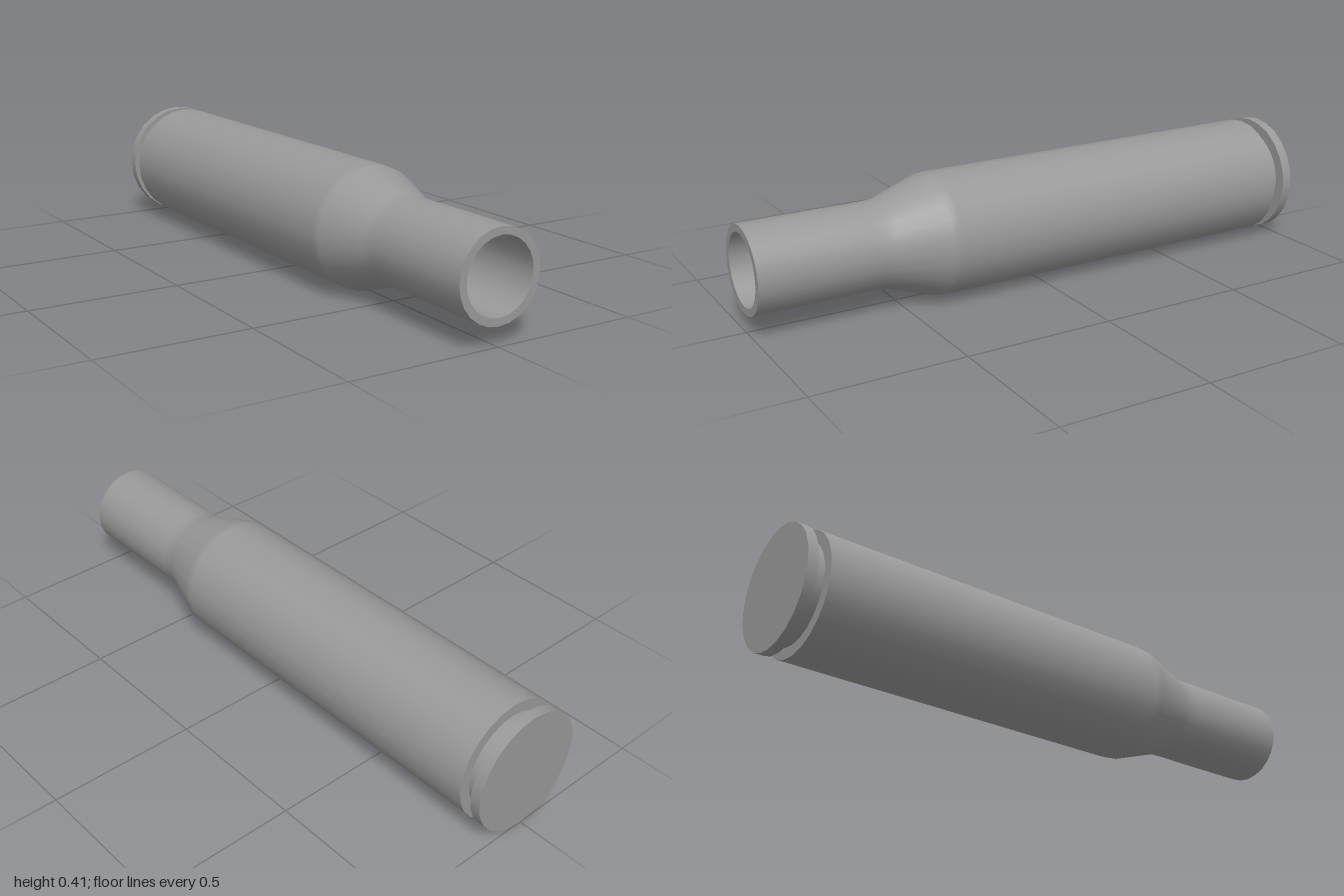
import * as THREE from 'three';

const SIDES = 24;
const R = 0.204;      // body and rim radius
const GROOVE = 0.166; // extractor groove radius
const NECK = 0.144;   // outer neck radius
const BORE = 0.119;   // inner radius

export function createModel() {
  const group = new THREE.Group();
  const material = new THREE.MeshStandardMaterial({ color: 0x999999 });

  // Turned surface along z; each profile point is [radius, z], and each
  // separate profile ends in a sharp edge.
  function turned(name, points) {
    const profile = points.map(([r, z]) => new THREE.Vector2(r, z));
    const geometry = new THREE.LatheGeometry(profile, SIDES);
    geometry.rotateX(Math.PI / 2);
    const mesh = new THREE.Mesh(geometry, material);
    mesh.name = name;
    mesh.position.y = R;
    group.add(mesh);
  }

  // Closed base with its rim
  turned('base', [[0, -1], [R, -1]]);
  turned('rim', [[R, -1], [R, -0.965]]);
  turned('rimFront', [[R, -0.965], [GROOVE, -0.965]]);

  // Groove between rim and body
  turned('groove', [[GROOVE, -0.965], [GROOVE, -0.925]]);
  turned('bodyBack', [[GROOVE, -0.925], [R, -0.925]]);

  // Body, sloping shoulder and neck flow smoothly into each other
  turned('bodyShoulderAndNeck', [
    [R, -0.925], [R, 0.35], [0.202, 0.38], [0.148, 0.54],
    [0.144, 0.58], [0.143, 0.62], [NECK, 0.7], [NECK, 1],
  ]);

  // Open mouth with a deep bore
  turned('mouthLip', [[NECK, 1], [BORE, 1]]);
  turned('boreWall', [[BORE, 1], [BORE, -0.85]]);
  turned('boreFloor', [[BORE, -0.85], [0, -0.85]]);

  return group;
}
